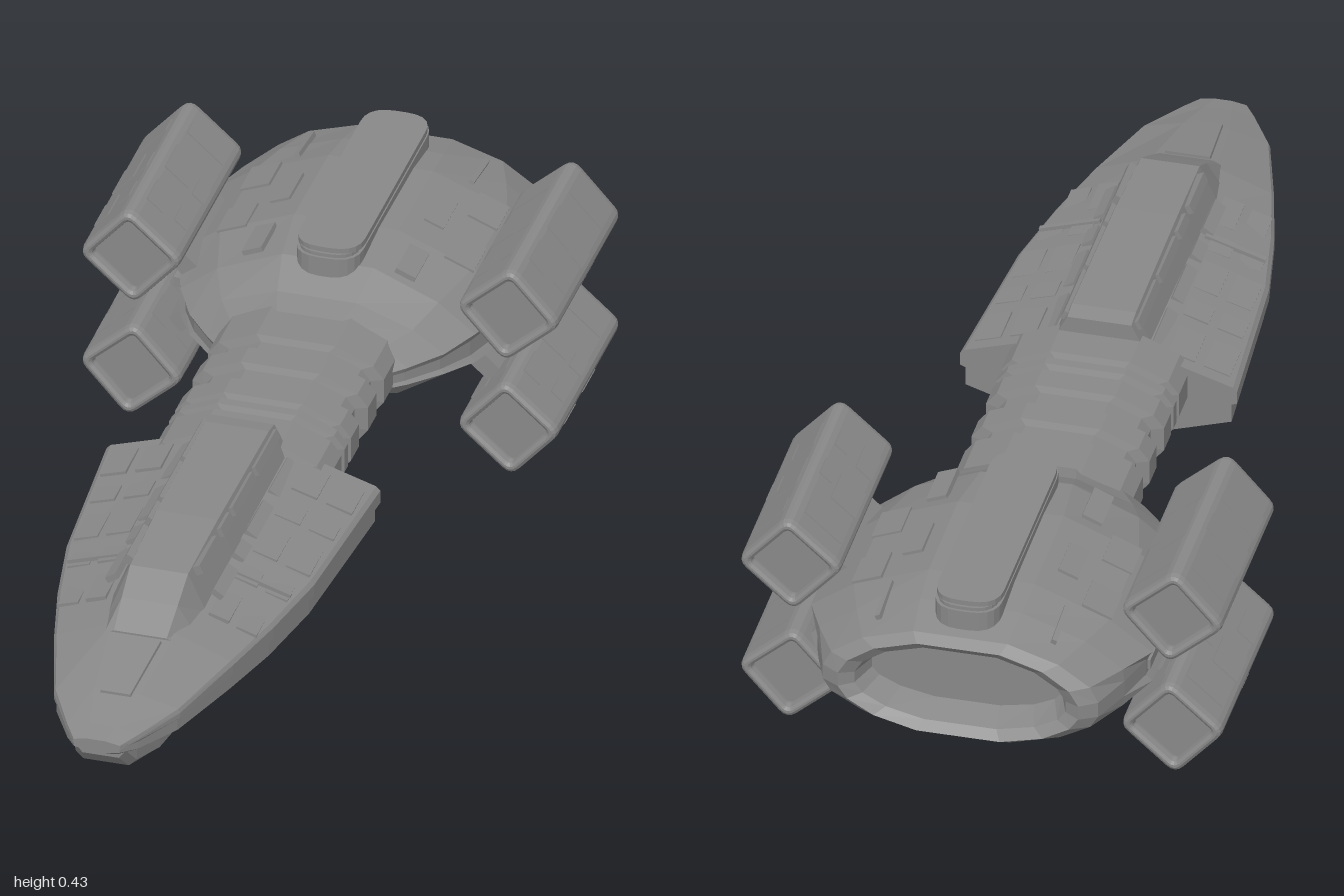
import * as THREE from 'three';

const grey = new THREE.MeshStandardMaterial({ color: 0x888888, flatShading: true });

function add(parent, name, geometry, x = 0, y = 0, z = 0, rotZ = 0, rotX = 0) {
  const mesh = new THREE.Mesh(geometry, grey);
  mesh.name = name;
  mesh.position.set(x, y, z);
  mesh.rotation.set(rotX, 0, rotZ);
  parent.add(mesh);
  return mesh;
}
const box = (w, h, d) => new THREE.BoxGeometry(w, h, d);

// Skin over sections [z, half outline from top to bottom]; each outline is mirrored in x
function loft(sections) {
  const rings = sections.map(([z, half]) => [
    ...half.map(([x, y]) => [x, y, z]),
    ...half.slice().reverse().map(([x, y]) => [-x, y, z]),
  ]);
  const pos = [];
  const n = rings[0].length;
  const tri = (...corners) => corners.forEach((c) => pos.push(...c));
  for (let i = 0; i < rings.length - 1; i++) {
    for (let j = 0; j < n; j++) {
      const k = (j + 1) % n, a = rings[i], b = rings[i + 1];
      tri(a[j], b[j], a[k]);
      tri(a[k], b[j], b[k]);
    }
  }
  [rings[0], rings[rings.length - 1]].forEach((ring, end) => {
    const mid = [0, ring.reduce((s, p) => s + p[1], 0) / n, ring[0][2]];
    for (let j = 0; j < n; j++) {
      const k = (j + 1) % n;
      if (end) tri(mid, ring[k], ring[j]);
      else tri(mid, ring[j], ring[k]);
    }
  });
  const g = new THREE.BufferGeometry();
  g.setAttribute('position', new THREE.Float32BufferAttribute(pos, 3));
  g.computeVertexNormals();
  return g;
}

// Rounded rectangle centred on the origin
function roundRect(w, h, r, Type = THREE.Shape) {
  const s = new Type(), a = w / 2, b = h / 2;
  s.moveTo(-a + r, -b);
  s.lineTo(a - r, -b); s.quadraticCurveTo(a, -b, a, -b + r);
  s.lineTo(a, b - r); s.quadraticCurveTo(a, b, a - r, b);
  s.lineTo(-a + r, b); s.quadraticCurveTo(-a, b, -a, b - r);
  s.lineTo(-a, -b + r); s.quadraticCurveTo(-a, -b, -a + r, -b);
  return s;
}

function buildBow() {
  const bow = new THREE.Group();
  bow.name = 'forwardHull';
  // z, half width, deck, upper edge, lower edge, bottom
  add(bow, 'bowHull', loft([
    [0.06, 0.26, 0.29, 0.24, 0.165, 0.12], [0.4, 0.235, 0.285, 0.235, 0.165, 0.12],
    [0.56, 0.205, 0.278, 0.233, 0.165, 0.122], [0.7, 0.17, 0.27, 0.23, 0.17, 0.125],
    [0.87, 0.12, 0.238, 0.22, 0.175, 0.135], [0.96, 0.07, 0.218, 0.21, 0.18, 0.16],
    [1, 0.045, 0.21, 0.205, 0.19, 0.185],
  ].map(([z, w, deck, hi, lo, bot]) => [z, [
    [w * 0.36, deck], [w * 0.97, hi], [w, hi - 0.008],
    [w, (hi + lo) / 2 + 0.004], [w * 0.96, (hi + lo) / 2], [w * 0.96, lo], [w * 0.42, bot],
  ]])));
  // Raised spine with a sloping front, then the low strip on the nose
  add(bow, 'spine', loft([
    [0.065, 0.06, 0.342, 0.1], [0.1, 0.06, 0.348, 0.1], [0.42, 0.058, 0.348, 0.098],
    [0.6, 0.055, 0.338, 0.09], [0.66, 0.053, 0.305, 0.08], [0.72, 0.05, 0.27, 0.068],
  ].map(([z, w, top, base]) => [z, [[w, top], [base, 0.262]]])));
  add(bow, 'noseStrip', loft([
    [0.73, [[0.042, 0.27], [0.046, 0.25]]], [0.88, [[0.028, 0.241], [0.032, 0.225]]],
  ]));
  add(bow, 'jaw', loft([
    [0.08, 0.1, 0.12], [0.55, 0.1, 0.12], [0.74, 0.09, 0.103], [0.85, 0.075, 0.104],
    [0.94, 0.058, 0.128], [0.975, 0.046, 0.163],
  ].map(([z, w, bot]) => [z, [[w * 1.05, 0.18], [w, bot + 0.015], [w * 0.75, bot]]])));
  for (const s of [-1, 1]) {
    // Rails and blocks beside the spine
    for (const [z, len] of [[0.15, 0.14], [0.3, 0.13], [0.41, 0.06], [0.52, 0.11]]) {
      add(bow, 'spineRail', box(0.018, 0.016, len), s * 0.066, 0.332, z, -s * 1.1);
      add(bow, 'spineBlock', box(0.024, 0.012, len * 0.85), s * 0.1, 0.282, z, -s * 0.6);
    }
    // Deck plates in two rows, following the taper
    for (let i = 0; i < 5; i++) {
      const z = 0.13 + i * 0.11;
      const w = z < 0.4 ? 0.26 - (z - 0.06) * 0.073 : 0.235 - (z - 0.4) * 0.2;
      for (const f of [0.58, 0.84]) {
        add(bow, 'deckPlate', box(w * 0.2, 0.008, i % 2 ? 0.05 : 0.085),
          s * w * f, 0.289 - (f - 0.36) * 0.082 - i * 0.0025, z, -s * 0.3);
      }
    }
    add(bow, 'jawBlister', box(0.03, 0.03, 0.16), s * 0.115, 0.145, 0.48);
    add(bow, 'crossRib', box(0.12, 0.008, 0.01), s * 0.155, 0.26, 0.47, -s * 0.31);
  }
  return bow;
}

// Ribbed neck: alternating wide and narrow octagonal rings
function buildNeck() {
  const neck = [];
  const ring = (z, w, h) => neck.push([z, [
    [w * 0.45, 0.23 + h], [w * 0.88, 0.23 + h * 0.62], [w, 0.23 + h * 0.3],
    [w, 0.23 - h * 0.3], [w * 0.88, 0.23 - h * 0.62], [w * 0.45, 0.23 - h],
  ]]);
  for (const [a, b] of [[-0.4, -0.27], [-0.232, -0.17], [-0.122, -0.06], [-0.05, -0.02], [-0.01, 0.09]]) {
    ring(a, 0.143, 0.068);
    ring(a + 0.005, 0.167, 0.08);
    ring(b - 0.005, 0.167, 0.08);
    ring(b, 0.143, 0.068);
  }
  return loft(neck);
}

function buildStern() {
  const stern = new THREE.Group();
  stern.name = 'sternHull';
  const profile = [[0.31, 1], [0.75, 0.62], [1, 0.22], [0.965, 0.1],
    [0.965, -0.14], [1, -0.24], [0.8, -0.52], [0.47, -1]];
  const oval = [70, 46, 24, 8, -8, -24, -46, -70].map((deg) => {
    const t = THREE.MathUtils.degToRad(deg);
    return [Math.cos(t), Math.sin(t) * 1.06];
  });
  // z, half width, top, bottom, roundness; the first rings form the recessed exhaust
  add(stern, 'sternShell', loft([
    [-0.93, 0.18, 0.295, 0.165, 1], [-0.985, 0.2, 0.308, 0.15, 1], [-1, 0.228, 0.325, 0.133, 1],
    [-0.98, 0.262, 0.338, 0.122, 0.85], [-0.9, 0.295, 0.355, 0.103, 0.4], [-0.82, 0.32, 0.366, 0.09, 0],
    [-0.6, 0.32, 0.37, 0.088, 0], [-0.48, 0.28, 0.358, 0.098, 0], [-0.41, 0.242, 0.322, 0.138, 0],
    [-0.35, 0.19, 0.307, 0.152, 0], [-0.33, 0.168, 0.3, 0.158, 0],
  ].map(([z, w, top, bot, round]) => [z, profile.map(([px, py], i) => {
    const u = THREE.MathUtils.lerp(px, oval[i][0], round);
    const v = THREE.MathUtils.lerp(py, oval[i][1], round);
    return [u * w, 0.22 + v * (v > 0 ? top - 0.22 : 0.22 - bot)];
  })])));
  // Dorsal housing stacked in tiers, and a small ventral plate
  const tier = (name, w, len, y, h, z) => {
    const g = new THREE.ExtrudeGeometry(roundRect(w, len, w * 0.42), { depth: h, bevelEnabled: false, curveSegments: 5 });
    add(stern, name, g, 0, y, z, 0, -Math.PI / 2);
  };
  tier('dorsalHousing', 0.124, 0.51, 0.33, 0.052, -0.705);
  tier('dorsalCap', 0.112, 0.5, 0.375, 0.014, -0.705);
  tier('dorsalTop', 0.124, 0.49, 0.387, 0.012, -0.705);
  tier('ventralPlate', 0.124, 0.2, 0.081, 0.02, -0.65);
  for (const s of [-1, 1]) {
    // Raised plates on the shoulders
    for (const z of [-0.71, -0.53]) add(stern, 'shoulderPlate', box(0.04, 0.01, 0.09), s * 0.145, 0.35, z, -s * 0.39);
    for (const z of [-0.78, -0.63]) add(stern, 'outerPlate', box(0.06, 0.01, 0.08), s * 0.215, 0.321, z, -s * 0.39);
    add(stern, 'sternRib', box(0.01, 0.01, 0.1), s * 0.165, 0.334, -0.89, -s * 0.39, -0.12);
    add(stern, 'flankStrip', box(0.012, 0.02, 0.26), s * 0.308, 0.217, -0.68);
  }
  return stern;
}

// Engine pod: a rounded square tube with recessed ends and raised plates
function buildPod() {
  const pod = new THREE.Group();
  pod.name = 'enginePod';
  const shape = roundRect(0.145, 0.145, 0.025);
  shape.holes.push(roundRect(0.105, 0.105, 0.008, THREE.Path));
  const g = new THREE.ExtrudeGeometry(shape, {
    depth: 0.38, bevelThickness: 0.014, bevelSize: 0.008, bevelOffset: -0.008, bevelSegments: 2, curveSegments: 4,
  });
  add(pod, 'podShell', g, 0, 0, -0.19);
  add(pod, 'podCore', box(0.112, 0.112, 0.37));
  for (let q = 0; q < 4; q++) {
    const side = new THREE.Group();
    side.name = 'podSide';
    side.rotation.z = q * Math.PI / 2;
    for (const [x, z, w, d] of [[-0.03, 0.1, 0.04, 0.07], [0.03, 0.1, 0.03, 0.05], [-0.02, -0.02, 0.06, 0.08],
      [0.035, 0, 0.03, 0.05], [0, -0.13, 0.09, 0.04]]) {
      add(side, 'podPlate', box(w, 0.007, d), x, 0.0715, z);
    }
    pod.add(side);
  }
  return pod;
}

export function createModel() {
  const ship = new THREE.Group();
  ship.name = 'spaceship';
  ship.add(buildBow());
  add(ship, 'ribbedNeck', buildNeck());
  ship.add(buildStern());
  // Four pods on short pylons
  for (const sx of [-1, 1]) {
    for (const sy of [-1, 1]) {
      const pod = buildPod();
      pod.position.set(sx * 0.358, 0.216 + sy * 0.121, -0.625);
      pod.rotation.z = Math.PI / 4 - sx * sy * 0.06;
      ship.add(pod);
      add(ship, 'podPylon', box(0.09, 0.035, 0.22), sx * 0.29, 0.218 + sy * 0.062, -0.63, sx * sy * 0.75);
    }
  }
  return ship;
}
